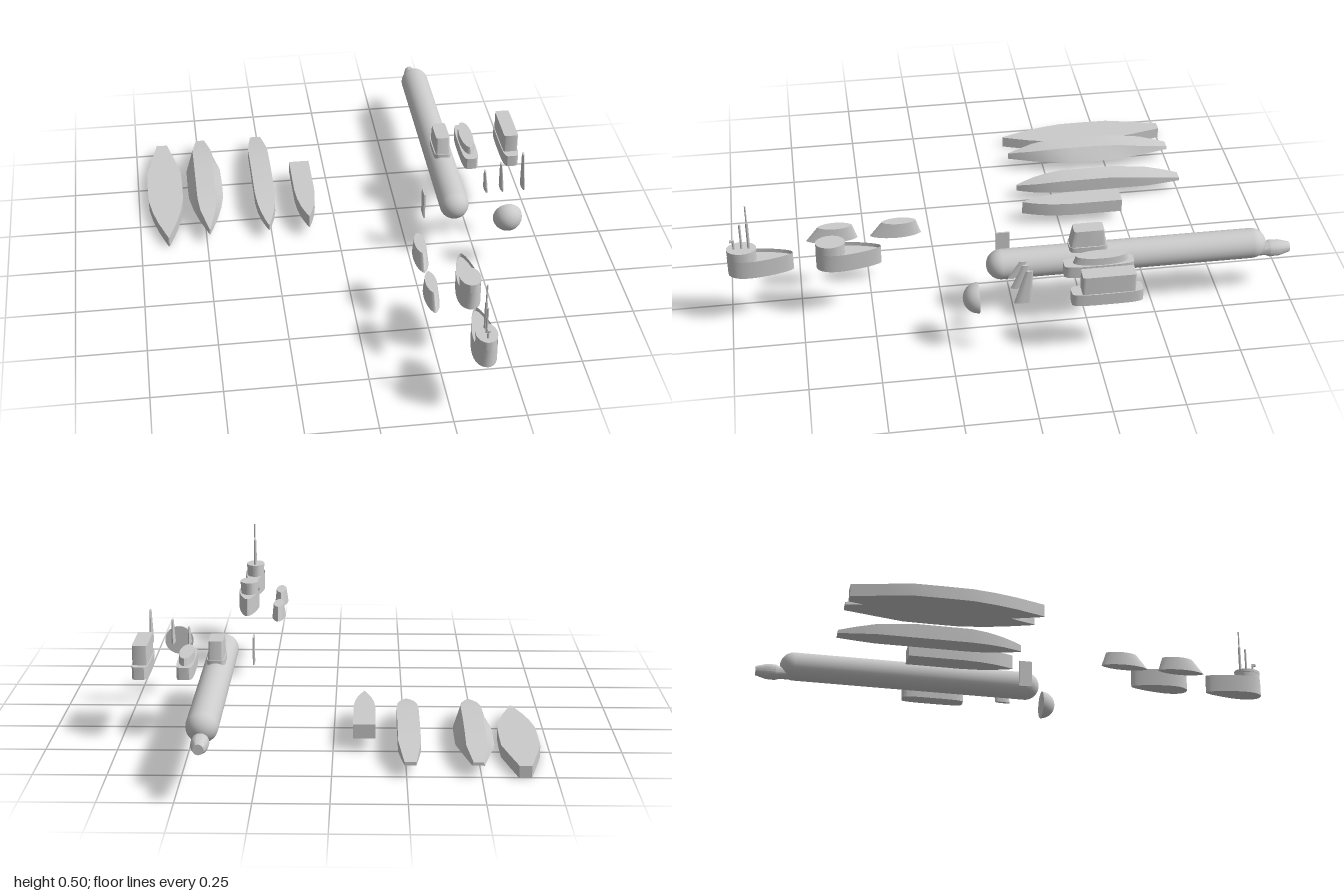
import * as THREE from 'three';
import { toCreasedNormals } from 'three/addons/utils/BufferGeometryUtils.js';

const grey = new THREE.MeshStandardMaterial({ color: 0xcccccc });
const greyThin = new THREE.MeshStandardMaterial({ color: 0xcccccc, side: THREE.DoubleSide });

// Joins closed rings of [x, y, z] points; each end may be capped with a fan
function loft(rings, capStart = true, capEnd = true) {
  const n = rings[0].length, pos = [];
  const tri = (a, b, c) => pos.push(...a, ...b, ...c);
  for (let k = 0; k < rings.length - 1; k++) {
    const a = rings[k], b = rings[k + 1];
    for (let i = 0; i < n; i++) {
      const j = (i + 1) % n;
      tri(a[i], a[j], b[j]);
      tri(a[i], b[j], b[i]);
    }
  }
  const last = rings[rings.length - 1];
  for (let i = 1; i < n - 1; i++) {
    if (capStart) tri(rings[0][0], rings[0][i + 1], rings[0][i]);
    if (capEnd) tri(last[0], last[i], last[i + 1]);
  }
  const g = new THREE.BufferGeometry();
  g.setAttribute('position', new THREE.Float32BufferAttribute(pos, 3));
  return toCreasedNormals(g, 0.5);
}

// Horizontal outline: px and pz shape it (1,1 ellipse; 1.6,1 lens; 0.4,0.6 rounded box)
function outline(y, halfW, zBack, zFront, px = 1, pz = 1, skew = 0, n = 32) {
  const pow = (v, p) => Math.sign(v) * Math.pow(Math.abs(v), p);
  return Array.from({ length: n }, (_, i) => {
    const a = (i / n) * Math.PI * 2;
    return [
      halfW * pow(Math.sin(a + skew * Math.sin(a)), px), y,
      (zFront + zBack) / 2 + ((zFront - zBack) / 2) * pow(Math.cos(a), pz),
    ];
  });
}

// Hull slice from stations of [z, bottom half width, top half width, top y]
function hullSlice(y0, stations) {
  return loft(stations.map(([z, b, t, y1]) => [[-b, y0, z], [b, y0, z], [t, y1, z], [-t, y1, z]]));
}

export function createModel() {
  const model = new THREE.Group();
  const add = (parent, name, geometry, x = 0, y = 0, z = 0, material = grey) => {
    const m = new THREE.Mesh(geometry, material);
    m.name = name;
    m.position.set(x, y, z);
    parent.add(m);
    return m;
  };
  const group = (name, x = 0, y = 0, z = 0) => {
    const g = new THREE.Group();
    g.name = name;
    g.position.set(x, y, z);
    model.add(g);
    return g;
  };

  // Four flat hull slices
  const wide = [[-0.755, 0.021], [-0.65, 0.045], [-0.55, 0.067], [-0.45, 0.068], [-0.36, 0.067],
    [-0.28, 0.054], [-0.21, 0.036], [-0.15, 0.016], [-0.11, 0.002]];
  const slim = [[-0.755, 0.02], [-0.69, 0.03], [-0.62, 0.039], [-0.49, 0.039], [-0.29, 0.039],
    [-0.23, 0.034], [-0.18, 0.025], [-0.14, 0.013], [-0.11, 0.002]];
  // Deck height: falls away at the stern and gently at the bow
  const deck = (z) => {
    if (z < -0.49) return 0.095 - 0.04 * Math.pow((-0.49 - z) / 0.265, 1.6);
    if (z > -0.3) return 0.095 - 0.028 * Math.pow((z + 0.3) / 0.19, 1.5);
    return 0.095;
  };
  add(model, 'hullBottom', hullSlice(0, wide.map(([z, w]) => [z, w, w, 0.043])), -0.645);
  add(model, 'hullFlared', hullSlice(0.043, wide.map(([z, w]) =>
    [z, w, Math.min(w * 0.8, 0.036), deck(z)])), -0.488);
  add(model, 'hullDeck', hullSlice(0.043, slim.map(([z, w]) => [z, w, w, deck(z)])), -0.262);
  add(model, 'hullForedeck', hullSlice(0.043, slim.slice(3).map(([z, w]) => [z, w, w, 0.095])), -0.108);

  // Round pressure hull
  const sub = group('pressureHull', 0.418, 0.21, 0);
  const capsule = new THREE.CapsuleGeometry(0.054, 0.902, 12, 32);
  capsule.rotateX(Math.PI / 2);
  add(sub, 'hullTube', capsule, 0, 0, -0.405);

  // Tail cone
  const tail = new THREE.LatheGeometry([[0, 0.85], [0.024, 0.85], [0.024, 0.91], [0.03, 0.925],
    [0.029, 0.96], [0.018, 1], [0, 1]].map(([r, h]) => new THREE.Vector2(r, h)), 20);
  tail.rotateX(-Math.PI / 2);
  add(sub, 'tailCone', toCreasedNormals(tail, 0.5), 0, -0.03, 0);

  // Sail on the pressure hull
  add(sub, 'sailBase', loft([outline(0.03, 0.032, -0.33, -0.192, 0.35, 0.35),
    outline(0.065, 0.032, -0.33, -0.192, 0.35, 0.35)]));
  add(sub, 'sail', loft([outline(0.06, 0.028, -0.325, -0.194, 0.2, 0.2),
    outline(0.13, 0.026, -0.315, -0.208, 0.2, 0.2)]));

  // Nose dome with its flat back
  const dome = new THREE.SphereGeometry(0.054, 32, 12, 0, Math.PI * 2, 0, Math.PI / 2);
  dome.rotateX(Math.PI / 2);
  const nose = group('noseDome', 0.598, 0.212, 0.15);
  add(nose, 'dome', dome);
  const disc = new THREE.CircleGeometry(0.054, 32);
  disc.rotateY(Math.PI);
  add(nose, 'domeBack', disc);

  // Two loose deckhouses on rounded plinths
  const plinth = () => loft([outline(0.225, 0.031, -0.405, -0.157, 0.35, 0.6),
    outline(0.27, 0.031, -0.405, -0.157, 0.35, 0.6)]);
  const low = group('lowDeckhouse', 0.523);
  add(low, 'plinth', plinth());
  add(low, 'topFairing', loft([outline(0.27, 0.027, -0.385, -0.19),
    outline(0.297, 0.025, -0.38, -0.2)]));
  const tall = group('tallDeckhouse', 0.68);
  add(tall, 'plinth', plinth());
  add(tall, 'cabin', loft([outline(0.27, 0.027, -0.376, -0.192, 0.12, 0.12),
    outline(0.34, 0.027, -0.376, -0.192, 0.12, 0.12)]));

  // Three tapered fins of growing height
  for (const [x, top] of [[0.543, 0.31], [0.603, 0.338], [0.684, 0.375]]) {
    add(model, 'fin', loft([outline(0.245, 0.007, -0.022, 0.04, 1, 1, 0, 12),
      outline(top, 0.004, -0.024, 0, 1, 1, 0, 12)]), x);
  }

  // Rudder plate
  add(model, 'rudderPlate', new THREE.BoxGeometry(0.006, 0.105, 0.05), 0.306, 0.212, 0.025);

  // Two pointed fairings
  for (const z of [0.31, 0.537]) {
    add(model, 'fairing', loft([outline(0.242, 0.026, 0, 0.183, 1.3, 1),
      outline(0.297, 0.02, 0.018, 0.14, 1.3, 1)]), 0.23, 0, z);
  }

  // Two conning towers: egg-shaped tub, recessed deck and round bridge
  const tower = (name, x, z) => {
    const g = group(name, x, 0, z);
    const egg = (y) => outline(y, 0.04, 0, 0.228, 1, 1, 0.4);
    add(g, 'tub', loft([egg(0.222), egg(0.292)], true, false), 0, 0, 0, greyThin);
    add(g, 'tubDeck', loft([egg(0.27), egg(0.277)]));
    add(g, 'bridge', loft([outline(0.275, 0.035, 0.126, 0.227), outline(0.315, 0.035, 0.126, 0.227)]));
    add(g, 'bridgeRim', loft([outline(0.314, 0.037, 0.124, 0.228), outline(0.325, 0.037, 0.124, 0.228)]));
    return g;
  };
  tower('conningTower', 0.361, 0.463);
  const mastTower = tower('conningTowerWithMasts', 0.356, 0.769);

  // Masts and periscope
  const rod = (name, r, y0, y1, z) =>
    add(mastTower, name, new THREE.CylinderGeometry(r, r, y1 - y0, 12), 0, (y0 + y1) / 2, z);
  rod('tallMast', 0.005, 0.32, 0.43, 0.149);
  rod('tallMastTip', 0.0028, 0.43, 0.5, 0.149);
  rod('middleMast', 0.004, 0.32, 0.425, 0.174);
  rod('periscope', 0.004, 0.32, 0.36, 0.201);
  add(mastTower, 'periscopeHead', new THREE.BoxGeometry(0.008, 0.008, 0.016), 0, 0.358, 0.206);

  return model;
}
